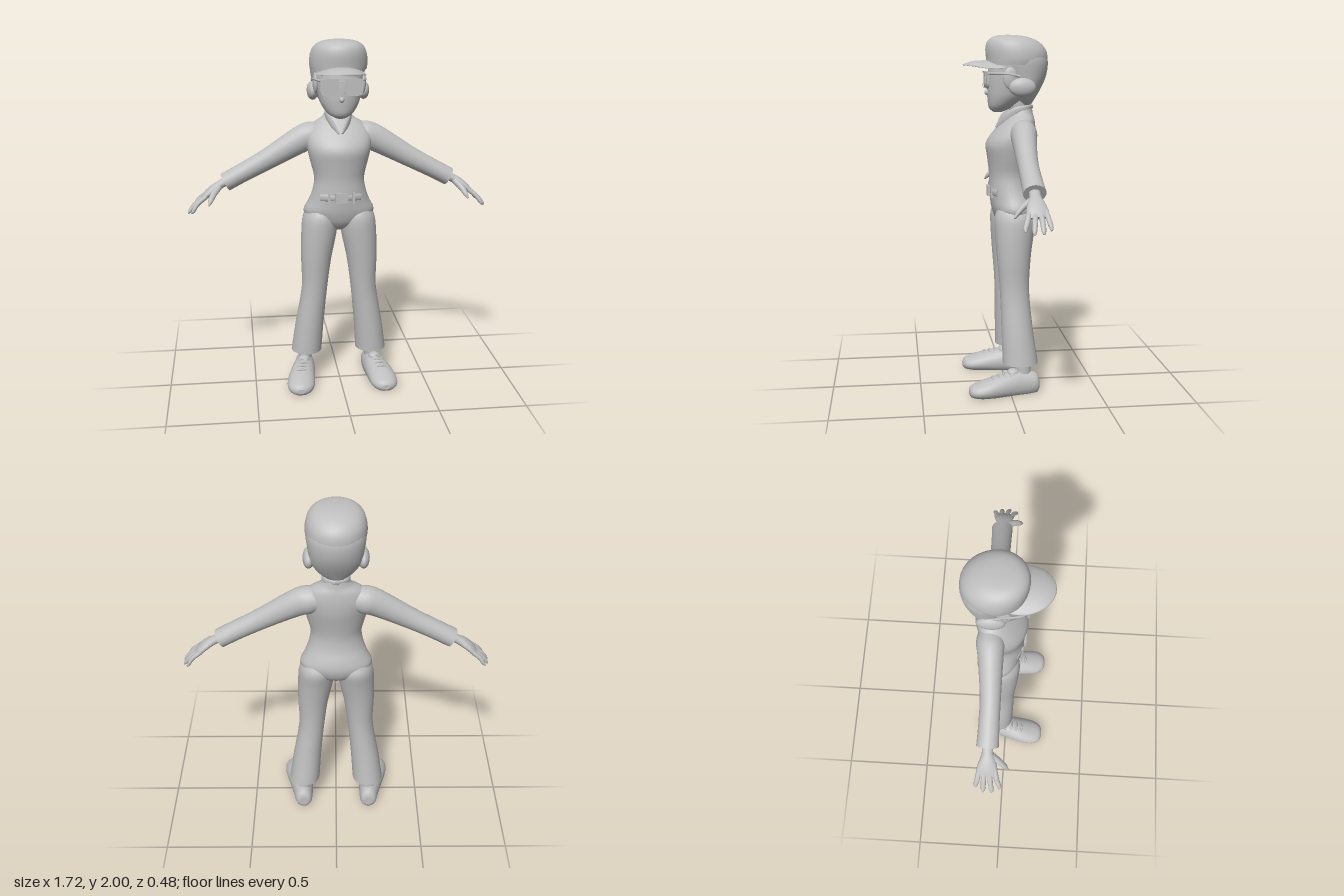
import * as THREE from 'three';

const X = new THREE.Vector3(1, 0, 0), Y = new THREE.Vector3(0, 1, 0), Z = new THREE.Vector3(0, 0, 1);
const grey = new THREE.MeshStandardMaterial({ color: 0xbfbfbf });
grey.name = 'plain grey';

function add(parent, name, geo) {
  const mesh = new THREE.Mesh(geo, grey);
  mesh.name = name;
  parent.add(mesh);
  return mesh;
}

// Smooth skin over elliptical sections [x, y, z, sideRadius, refRadius];
// dir fixes the section normal, otherwise it follows the path.
function loft(rows, { n = 24, steps = 3, dir = null, ref = Z, floor = -1 } = {}) {
  const path = new THREE.CatmullRomCurve3(rows.map(r => new THREE.Vector3(r[0], r[1], r[2])), false, 'catmullrom');
  const radii = new THREE.CatmullRomCurve3(rows.map(r => new THREE.Vector3(r[3], r[4], 0)), false, 'catmullrom');
  const m = (rows.length - 1) * steps, pos = [], idx = [];
  const put = p => pos.push(p.x, Math.max(p.y, floor), p.z);
  for (let i = 0; i <= m; i++) {
    const c = path.getPoint(i / m), r = radii.getPoint(i / m);
    const t = dir || path.getTangent(i / m);
    const side = t.clone().cross(ref).normalize();
    const up = side.clone().cross(t).normalize();
    for (let j = 0; j < n; j++) {
      const a = (j / n) * Math.PI * 2;
      put(c.clone().addScaledVector(up, r.y * Math.cos(a)).addScaledVector(side, r.x * Math.sin(a)));
    }
  }
  for (let i = 0; i < m; i++) for (let j = 0; j < n; j++) {
    const a = i * n + j, b = i * n + (j + 1) % n;
    idx.push(a, b, b + n, a, b + n, a + n);
  }
  // End caps with their own corners, so rims stay sharp
  for (const [ring, flip] of [[0, true], [m, false]]) {
    const base = pos.length / 3;
    for (let j = 0; j < n; j++) pos.push(...pos.slice((ring * n + j) * 3, (ring * n + j) * 3 + 3));
    put(path.getPoint(ring / m));
    for (let j = 0; j < n; j++) {
      const a = base + j, b = base + (j + 1) % n;
      idx.push(base + n, flip ? b : a, flip ? a : b);
    }
  }
  const g = new THREE.BufferGeometry();
  g.setAttribute('position', new THREE.Float32BufferAttribute(pos, 3));
  g.setIndex(idx);
  g.computeVertexNormals();
  return g;
}

const ball = (x, y, z, rx, ry, rz) => new THREE.SphereGeometry(1, 20, 14).scale(rx, ry, rz).translate(x, y, z);
const box = (x, y, z, w, h, d) => new THREE.BoxGeometry(w, h, d).translate(x, y, z);
const tube = (pts, r) => new THREE.TubeGeometry(
  new THREE.CatmullRomCurve3(pts.map(p => new THREE.Vector3(...p))), 10, r, 6);

function lensShape(cx, cy, w, h, ShapeType = THREE.Shape) {
  const s = new ShapeType();
  s.moveTo(cx - w, cy + h);
  s.lineTo(cx + w, cy + h);
  s.lineTo(cx + w, cy - h * 0.4);
  s.quadraticCurveTo(cx + w * 0.9, cy - h, cx + w * 0.4, cy - h);
  s.lineTo(cx - w * 0.4, cy - h);
  s.quadraticCurveTo(cx - w * 0.9, cy - h, cx - w, cy - h * 0.4);
  s.closePath();
  return s;
}

function buildBody(g) {
  add(g, 'torso', loft([
    [0, 0.925, -0.04, 0.03, 0.05], [0, 0.965, -0.045, 0.15, 0.1], [0, 1.03, -0.045, 0.203, 0.125],
    [0, 1.09, -0.036, 0.178, 0.126], [0, 1.15, -0.022, 0.155, 0.118], [0, 1.23, -0.018, 0.142, 0.113],
    [0, 1.32, -0.02, 0.162, 0.125], [0, 1.4, -0.025, 0.18, 0.137], [0, 1.47, -0.05, 0.182, 0.117],
    [0, 1.53, -0.075, 0.145, 0.087], [0, 1.565, -0.085, 0.09, 0.068], [0, 1.6, -0.09, 0.068, 0.058],
  ], { dir: Y, n: 32 }));
  add(g, 'neck', loft([
    [0, 1.5, -0.075, 0.06, 0.055], [0, 1.58, -0.07, 0.052, 0.05], [0, 1.67, -0.045, 0.052, 0.05],
  ], { dir: Y }));
  // Belt front
  add(g, 'buckle', box(0, 1.133, 0.092, 0.072, 0.058, 0.03));
  for (const s of [1, -1]) {
    add(g, 'beltStrap', loft([
      [s * 0.02, 1.135, 0.088, 0.02, 0.008], [s * 0.07, 1.133, 0.08, 0.02, 0.008], [s * 0.115, 1.13, 0.06, 0.02, 0.006],
    ], { n: 10 }));
    add(g, 'beltLoop', box(s * 0.068, 1.13, 0.082, 0.014, 0.065, 0.022));
    add(g, 'collar', loft([
      [0, 1.603, -0.15, 0.006, 0.012], [s * 0.06, 1.6, -0.115, 0.007, 0.016], [s * 0.069, 1.583, -0.05, 0.007, 0.022],
      [s * 0.045, 1.54, 0.01, 0.008, 0.024], [s * 0.01, 1.49, 0.052, 0.004, 0.008],
    ], { n: 10, ref: Y }));
  }
}

function buildLimbs(g, s) {
  add(g, 'trouserLeg', loft([
    [s * 0.192, 0.17, -0.06, 0.09, 0.1], [s * 0.173, 0.35, -0.045, 0.083, 0.09], [s * 0.144, 0.57, -0.033, 0.075, 0.083],
    [s * 0.133, 0.75, -0.03, 0.088, 0.094], [s * 0.116, 0.9, -0.035, 0.102, 0.11], [s * 0.107, 1.0, -0.045, 0.1, 0.12],
    [s * 0.1, 1.06, -0.045, 0.07, 0.09],
  ], { dir: Y }));
  add(g, 'ankle', loft([
    [s * 0.2, 0.07, -0.08, 0.038, 0.045], [s * 0.198, 0.15, -0.075, 0.038, 0.042], [s * 0.195, 0.24, -0.07, 0.04, 0.045],
  ], { dir: Y, n: 14 }));
  // Shoe, flattened at the ground
  add(g, 'shoe', loft([
    [s * 0.2, 0.045, -0.166, 0.025, 0.03], [s * 0.2, 0.05, -0.15, 0.048, 0.06], [s * 0.205, 0.05, -0.08, 0.06, 0.075],
    [s * 0.218, 0.05, 0, 0.07, 0.077], [s * 0.236, 0.042, 0.1, 0.08, 0.062], [s * 0.244, 0.033, 0.18, 0.076, 0.045],
    [s * 0.246, 0.03, 0.222, 0.052, 0.032], [s * 0.246, 0.028, 0.236, 0.022, 0.014],
  ], { dir: Z, ref: Y, floor: 0 }));
  add(g, 'shoeTongue', ball(s * 0.212, 0.12, -0.015, 0.034, 0.022, 0.035));
  for (let i = 0; i < 4; i++) {
    const z = 0.005 + i * 0.032, x = s * (0.219 + i * 0.006), y = 0.128 - i * 0.008;
    add(g, 'lace', tube([[x - 0.042, y - 0.018, z - 0.008], [x, y + 0.003, z + 0.006], [x + 0.042, y - 0.018, z - 0.008]], 0.006));
  }
  add(g, 'sleeve', loft([
    [s * 0.07, 1.47, -0.08, 0.06, 0.06], [s * 0.15, 1.46, -0.08, 0.079, 0.075], [s * 0.22, 1.435, -0.075, 0.076, 0.068],
    [s * 0.4, 1.334, -0.066, 0.06, 0.056], [s * 0.54, 1.26, -0.066, 0.054, 0.056], [s * 0.642, 1.205, -0.068, 0.053, 0.06],
  ]));
  add(g, 'hand', loft([
    [s * 0.6, 1.228, -0.068, 0.028, 0.034], [s * 0.67, 1.193, -0.066, 0.024, 0.03], [s * 0.715, 1.165, -0.064, 0.024, 0.046],
    [s * 0.755, 1.133, -0.065, 0.019, 0.056], [s * 0.785, 1.105, -0.066, 0.01, 0.045],
  ], { n: 18 }));
  // Four fingers: [root z, tip z, tip x, tip y]
  for (const [z0, z1, x, y] of [[-0.024, 0.004, 0.835, 1.045], [-0.052, -0.037, 0.855, 1.036],
    [-0.08, -0.082, 0.853, 1.036], [-0.106, -0.122, 0.832, 1.05]]) {
    add(g, 'finger', loft([
      [s * 0.75, 1.135, z0, 0.014, 0.014], [s * (0.75 + x + 0.012) / 2, (1.135 + y + 0.012) / 2, (z0 + z1) / 2, 0.012, 0.014],
      [s * (x - 0.012), y + 0.016, z1, 0.01, 0.012], [s * x, y, z1, 0.004, 0.005],
    ], { n: 10 }));
  }
  add(g, 'thumb', loft([
    [s * 0.68, 1.182, -0.05, 0.018, 0.02], [s * 0.71, 1.15, 0, 0.016, 0.018],
    [s * 0.727, 1.12, 0.03, 0.012, 0.014], [s * 0.738, 1.098, 0.046, 0.004, 0.005],
  ], { n: 10, ref: X }));
}

function buildHead(g) {
  add(g, 'face', loft([
    [0, 1.576, 0.045, 0.025, 0.025], [0, 1.6, 0.032, 0.068, 0.063], [0, 1.65, 0.003, 0.104, 0.1],
    [0, 1.7, -0.01, 0.12, 0.115], [0, 1.78, -0.02, 0.133, 0.123], [0, 1.87, -0.04, 0.14, 0.13],
  ], { dir: Y, n: 28 }));
  add(g, 'nose', ball(0, 1.685, 0.104, 0.014, 0.016, 0.016));
  add(g, 'mouth', ball(0, 1.636, 0.091, 0.026, 0.008, 0.01));
  add(g, 'hair', loft([
    [0, 1.615, -0.12, 0.045, 0.022], [0, 1.65, -0.108, 0.095, 0.055], [0, 1.71, -0.1, 0.135, 0.098],
    [0, 1.78, -0.1, 0.148, 0.127], [0, 1.86, -0.092, 0.156, 0.143], [0, 1.92, -0.08, 0.14, 0.13],
  ], { dir: Y, n: 28 }));
  for (const s of [1, -1]) {
    add(g, 'sideHair', ball(s * 0.143, 1.715, -0.075, 0.032, 0.052, 0.075));
    add(g, 'sideburn', ball(s * 0.132, 1.765, -0.01, 0.016, 0.06, 0.04));
  }
  add(g, 'cap', loft([
    [0, 1.835, -0.06, 0.157, 0.168], [0, 1.87, -0.062, 0.162, 0.172], [0, 1.92, -0.055, 0.157, 0.169],
    [0, 1.962, -0.04, 0.138, 0.145], [0, 1.988, -0.025, 0.1, 0.1], [0, 1.998, -0.015, 0.05, 0.05], [0, 2, -0.01, 0.01, 0.01],
  ], { dir: Y, n: 32 }));
  // Brim: flattened ball drooping towards its sides
  const brim = new THREE.SphereGeometry(1, 32, 16).scale(0.137, 0.014, 0.175).translate(0, 1.848, 0.066);
  const p = brim.attributes.position;
  for (let i = 0; i < p.count; i++) p.setY(i, p.getY(i) - 1.7 * p.getX(i) ** 2 - 0.2 * Math.max(0, p.getZ(i) - 0.18));
  brim.computeVertexNormals();
  add(g, 'capBrim', brim);
}

function buildGlasses(g) {
  for (const s of [1, -1]) {
    const rim = lensShape(s * 0.066, 1.754, 0.05, 0.046);
    rim.holes.push(lensShape(s * 0.066, 1.754, 0.043, 0.039, THREE.Path));
    add(g, 'rim', new THREE.ExtrudeGeometry(rim, { depth: 0.012, bevelEnabled: false }).translate(0, 0, 0.106));
    add(g, 'lens', new THREE.ExtrudeGeometry(lensShape(s * 0.066, 1.754, 0.043, 0.039),
      { depth: 0.005, bevelEnabled: false }).translate(0, 0, 0.108));
    add(g, 'temple', tube([[s * 0.112, 1.79, 0.11], [s * 0.132, 1.79, 0.07], [s * 0.142, 1.787, 0], [s * 0.148, 1.775, -0.06]], 0.007));
  }
  add(g, 'bridge', box(0, 1.78, 0.112, 0.04, 0.01, 0.012));
}

export function createModel() {
  const model = new THREE.Group();
  model.name = 'standingFigure';
  const part = (name, build, ...args) => {
    const g = new THREE.Group();
    g.name = name;
    build(g, ...args);
    model.add(g);
  };
  part('body', buildBody);
  part('leftLimbs', buildLimbs, 1);
  part('rightLimbs', buildLimbs, -1);
  part('head', buildHead);
  part('glasses', buildGlasses);
  return model;
}
